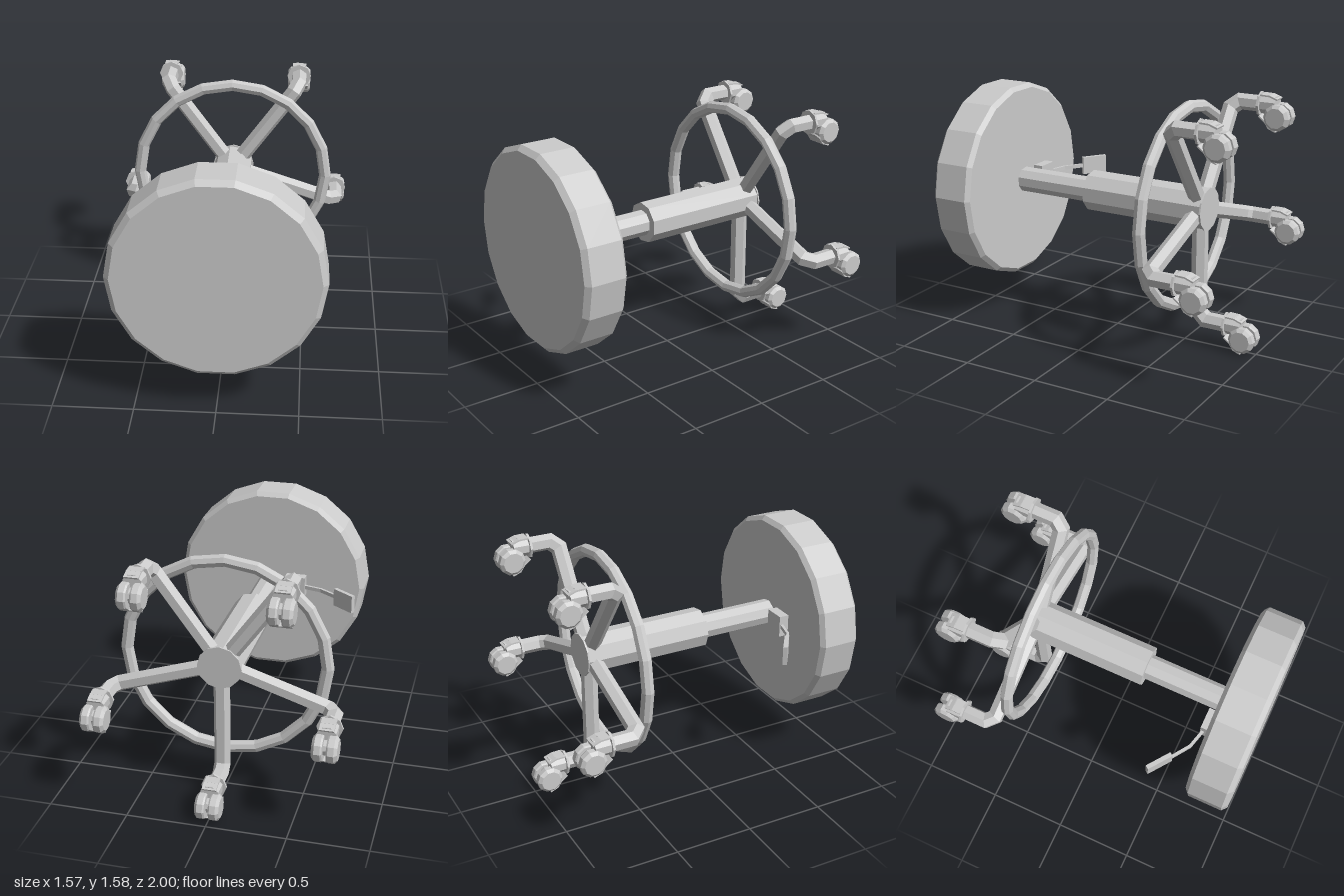
import * as THREE from 'three';

const mat = new THREE.MeshStandardMaterial({ color: 0xcccccc, flatShading: true, side: THREE.DoubleSide });

function add(parent, name, geometry) {
  const m = new THREE.Mesh(geometry, mat);
  m.name = name;
  parent.add(m);
  return m;
}

// Cylinder lying along z between two z values
function rodZ(r, z0, z1, sides, start = -Math.PI / 2) {
  return new THREE.CylinderGeometry(r, r, z1 - z0, sides, 1, false, start)
    .rotateX(Math.PI / 2).translate(0, 0, (z0 + z1) / 2);
}

// Solid of revolution about z, profile as [radius, z]
function latheZ(profile, sides) {
  const pts = profile.map(([r, z]) => new THREE.Vector2(r, z));
  return new THREE.LatheGeometry(pts, sides, Math.PI / 2).rotateX(Math.PI / 2);
}

// Hexagonal tube swept along a bent path of [x, z] points with mitred corners
function bentTube(path, radius) {
  const pos = [], index = [], n = 6;
  const dir = (a, b) => new THREE.Vector2(b[0] - a[0], b[1] - a[1]).normalize();
  path.forEach((p, i) => {
    const before = dir(path[Math.max(i - 1, 0)], path[Math.max(i, 1)]);
    const last = path.length - 1;
    const after = dir(path[Math.min(i, last - 1)], path[Math.min(i + 1, last)]);
    const t = before.clone().add(after).normalize();
    const mitre = 1 / t.dot(before);
    for (let j = 0; j < n; j++) {
      const a = (j / n) * Math.PI * 2;
      const s = Math.sin(a) * radius * mitre;
      pos.push(p[0] - t.y * s, Math.cos(a) * radius, p[1] + t.x * s);
      if (i < last) {
        const k = (j + 1) % n, A = i * n, B = A + n;
        index.push(A + j, A + k, B + k, A + j, B + k, B + j);
      }
    }
  });
  const g = new THREE.BufferGeometry();
  g.setAttribute('position', new THREE.Float32BufferAttribute(pos, 3));
  g.setIndex(index);
  g.computeVertexNormals();
  return g;
}

// Thin strip of width w (along x) following [z, y] points
function strip(points, w, thick) {
  const g = new THREE.Group();
  for (let i = 0; i < points.length - 1; i++) {
    const [z0, y0] = points[i], [z1, y1] = points[i + 1];
    const m = add(g, 'stripSegment', new THREE.BoxGeometry(w, thick, Math.hypot(z1 - z0, y1 - y0) + thick * 0.5));
    m.position.set(0, (y0 + y1) / 2, (z0 + z1) / 2);
    m.rotation.x = -Math.atan2(y1 - y0, z1 - z0);
  }
  return g;
}

// Twin-wheel caster, origin on the stem axis
function makeCaster() {
  const g = new THREE.Group();
  g.name = 'caster';
  add(g, 'collarPlate', rodZ(0.08, -0.8, -0.785, 8));
  add(g, 'stemSleeve', rodZ(0.06, -0.9, -0.8, 8, Math.PI / 8));
  for (const s of [-1, 1]) {
    const profile = [[0, 0.012], [0.078, 0.012], [0.085, 0.022], [0.085, 0.058], [0.065, 0.076], [0, 0.076]]
      .map(([r, h]) => new THREE.Vector2(r, h));
    const wheel = add(g, s < 0 ? 'rightWheel' : 'leftWheel', new THREE.LatheGeometry(profile, 10));
    wheel.rotation.z = -s * Math.PI / 2;
    wheel.position.set(0, -0.07, -0.915);
  }
  const axle = add(g, 'axle', new THREE.CylinderGeometry(0.05, 0.05, 0.05, 10).rotateZ(Math.PI / 2));
  axle.position.set(0, -0.07, -0.9);
  const hood = strip([[-0.8, 0.062], [-0.86, 0.06], [-0.91, 0.042]], 0.09, 0.01);
  hood.name = 'hood';
  const brake = strip([[-0.8, -0.07], [-0.84, -0.1], [-0.868, -0.14], [-0.915, -0.158]], 0.12, 0.009);
  brake.name = 'brakeTab';
  g.add(hood, brake);
  return g;
}

export function createModel() {
  const root = new THREE.Group();
  root.name = 'stool';
  const body = new THREE.Group();
  body.name = 'stoolOnItsSide';
  body.position.y = 0.905;
  root.add(body);

  // Seat cushion
  add(body, 'seat', latheZ([[0, 0.72], [0.62, 0.72], [0.648, 0.745], [0.648, 0.97], [0.615, 1], [0, 1]], 18));

  // Gas-lift column and hub
  add(body, 'innerColumn', rodZ(0.083, 0.15, 0.73, 9));
  add(body, 'outerColumn', rodZ(0.132, -0.645, 0.19, 9));
  add(body, 'hubCap', rodZ(0.138, -0.655, -0.645, 12));

  // Foot ring
  const ring = add(body, 'footRing', new THREE.TorusGeometry(0.63, 0.04, 8, 20));
  ring.position.z = -0.5;

  // Five bent legs; casters all trail the same way
  for (let i = 0; i < 5; i++) {
    const a = -Math.PI / 2 + (i * Math.PI * 2) / 5;
    const leg = add(body, 'leg', bentTube([[0.04, -0.595], [0.69, -0.595], [0.74, -0.645], [0.74, -0.8]], 0.052));
    leg.rotation.z = a;
    const caster = makeCaster();
    caster.position.set(0.74 * Math.cos(a), 0.74 * Math.sin(a), 0);
    body.add(caster);
  }

  // Height lever under the seat
  const lever = new THREE.Group();
  lever.name = 'heightLever';
  body.add(lever);
  add(lever, 'leverBlock', new THREE.BoxGeometry(0.14, 0.14, 0.07)).position.set(-0.18, 0, 0.69);
  const link = (name, [x0, z0], [x1, z1], h, t) => {
    const m = add(lever, name, new THREE.BoxGeometry(Math.hypot(x1 - x0, z1 - z0), h, t));
    m.position.set((x0 + x1) / 2, 0, (z0 + z1) / 2);
    m.rotation.y = -Math.atan2(z1 - z0, x1 - x0);
  };
  link('leverArmInner', [-0.24, 0.675], [-0.37, 0.64], 0.025, 0.018);
  link('leverArmOuter', [-0.365, 0.643], [-0.5, 0.55], 0.025, 0.018);
  link('leverPaddle', [-0.48, 0.56], [-0.62, 0.457], 0.12, 0.028);

  return root;
}
